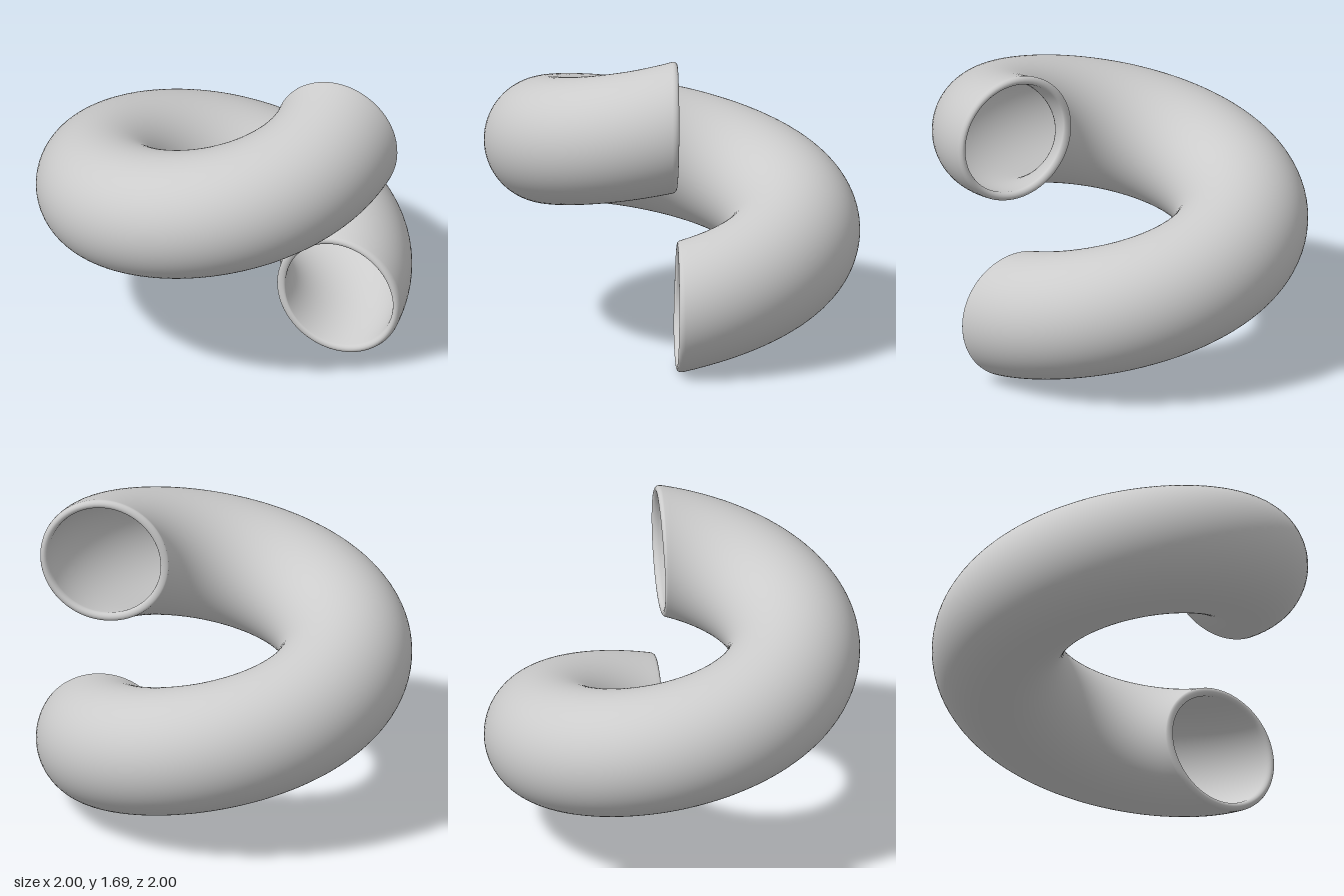
import * as THREE from 'three';

const R = 0.65;        // coil radius
const r = 0.35;        // tube radius
const WALL = 0.045;    // wall thickness
const RISE = 1;        // height gained in the single turn
const TURN = Math.PI * 2;
const K = RISE / TURN;

// Point on the outer skin, pushed inwards by depth along the surface normal.
function skinPoint(a, phi, depth) {
  const rad = R + r * Math.cos(phi);
  const ca = Math.cos(a), sa = Math.sin(a);
  const alongCoil = new THREE.Vector3(-rad * sa, K, -rad * ca);
  const aroundTube = new THREE.Vector3(-Math.sin(phi) * ca, Math.cos(phi), Math.sin(phi) * sa);
  const normal = alongCoil.cross(aroundTube).normalize();
  return new THREE.Vector3(rad * ca, r + r * Math.sin(phi) + K * a, -rad * sa)
    .addScaledVector(normal, -depth);
}

// Closed wall section as [angle, depth]: outer skin, end lip, inner skin, start lip.
function wallSection(steps = 120, lipSteps = 8) {
  const lip = WALL / 2, lipAngle = lip / R;
  const a0 = lipAngle, a1 = TURN - lipAngle;
  const section = [];
  for (let i = 0; i < steps; i++) section.push([a0 + (a1 - a0) * i / steps, 0]);
  for (let i = 0; i < lipSteps; i++) {
    const t = Math.PI * i / lipSteps;
    section.push([a1 + lipAngle * Math.sin(t), lip * (1 - Math.cos(t))]);
  }
  for (let i = 0; i < steps; i++) section.push([a1 + (a0 - a1) * i / steps, WALL]);
  for (let i = 0; i < lipSteps; i++) {
    const t = Math.PI * i / lipSteps;
    section.push([a0 - lipAngle * Math.sin(t), lip * (1 + Math.cos(t))]);
  }
  return section;
}

// Sweep the wall section around the tube, wrapping in both directions.
function coilGeometry(sides = 80) {
  const section = wallSection();
  const n = section.length;
  const positions = [], index = [];
  section.forEach(([a, depth], i) => {
    for (let j = 0; j < sides; j++) {
      positions.push(...skinPoint(a, TURN * j / sides, depth).toArray());
      const i2 = (i + 1) % n, j2 = (j + 1) % sides;
      const p = i * sides + j, q = i2 * sides + j;
      const s = i2 * sides + j2, t = i * sides + j2;
      index.push(p, q, s, p, s, t);
    }
  });
  const geometry = new THREE.BufferGeometry();
  geometry.setAttribute('position', new THREE.Float32BufferAttribute(positions, 3));
  geometry.setIndex(index);
  geometry.computeVertexNormals();
  return geometry;
}

export function createModel() {
  const group = new THREE.Group();
  group.name = 'coiledPipe';
  // Hollow pipe with rounded lips, one full helical turn
  const pipe = new THREE.Mesh(coilGeometry(), new THREE.MeshStandardMaterial({ color: 0xcccccc }));
  pipe.name = 'helicalPipe';
  group.add(pipe);
  return group;
}
